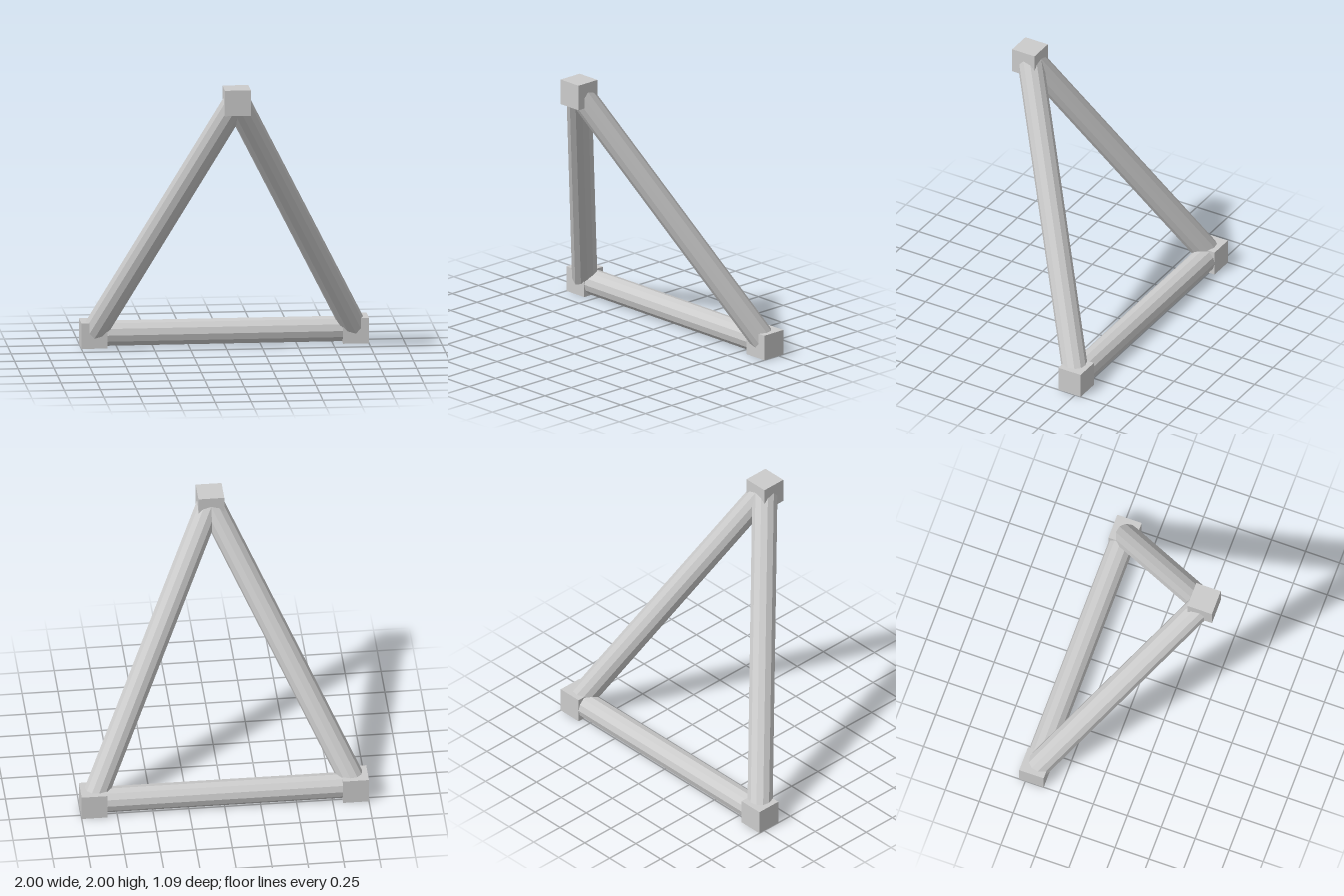
import * as THREE from 'three';

const material = new THREE.MeshStandardMaterial({ color: 0xcccccc, flatShading: true });
const SIZE = 0.18;

// Twelve-sided bar running between two joint centres
function bar(name, from, to) {
  const along = new THREE.Vector3().subVectors(to, from);
  const mesh = new THREE.Mesh(new THREE.CylinderGeometry(SIZE / 2, SIZE / 2, along.length(), 12), material);
  mesh.name = name;
  mesh.position.addVectors(from, to).multiplyScalar(0.5);
  mesh.quaternion.setFromUnitVectors(new THREE.Vector3(0, 1, 0), along.normalize());
  return mesh;
}

// Cube at a corner of the triangle
function joint(name, at) {
  const mesh = new THREE.Mesh(new THREE.BoxGeometry(SIZE, SIZE, SIZE), material);
  mesh.name = name;
  mesh.position.copy(at);
  return mesh;
}

export function createModel() {
  const group = new THREE.Group();
  group.name = 'leaningTriangleFrame';

  const left = new THREE.Vector3(0.91, 0.09, -0.455);
  const right = new THREE.Vector3(-0.91, 0.09, -0.455);
  const apex = new THREE.Vector3(0, 1.91, 0.455);

  group.add(
    joint('leftJoint', left),
    joint('rightJoint', right),
    joint('apexJoint', apex),
    bar('baseBar', right, left),
    bar('leftBar', left, apex),
    bar('rightBar', right, apex)
  );
  return group;
}
